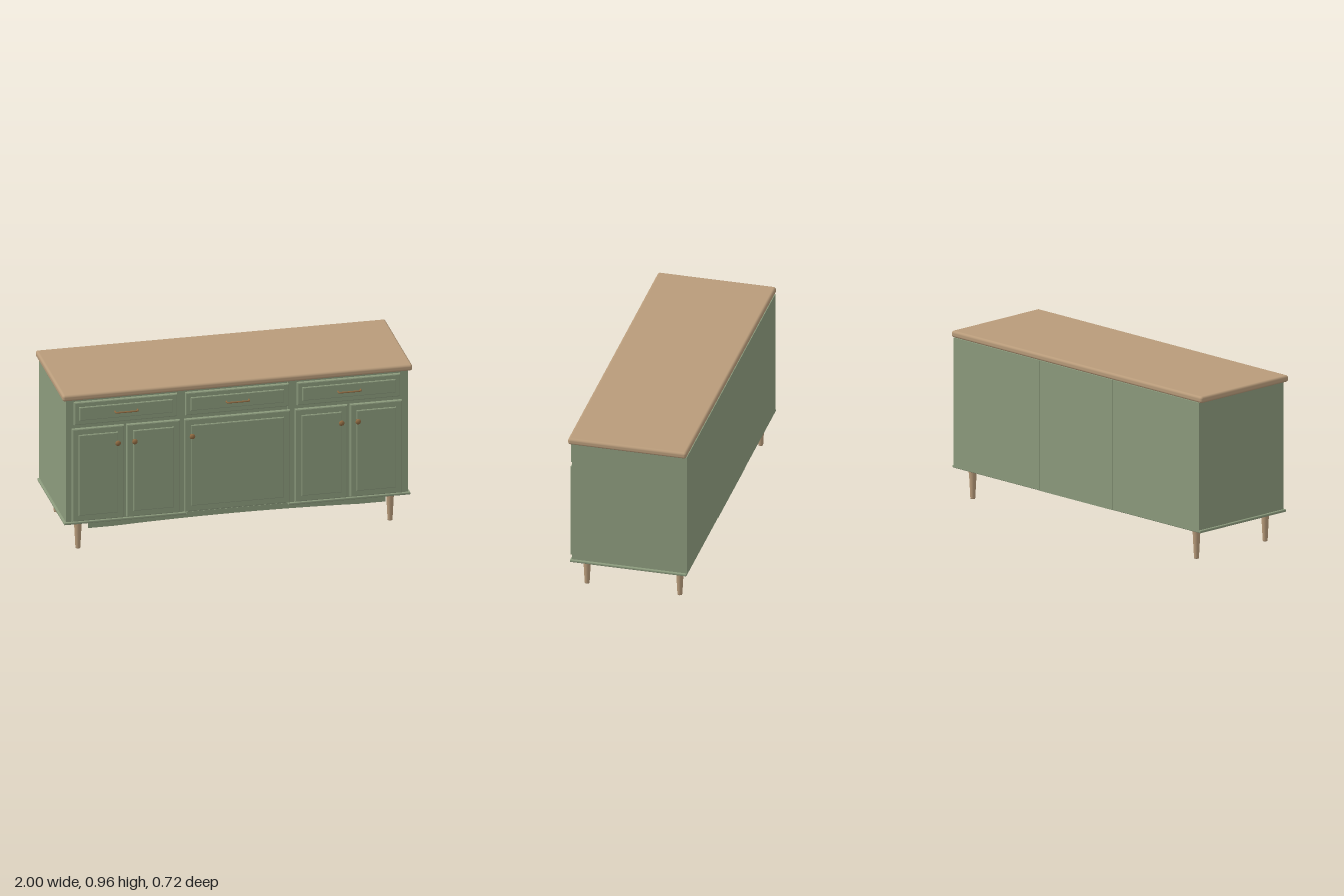
import * as THREE from 'three';
import { RoundedBoxGeometry } from 'three/addons/geometries/RoundedBoxGeometry.js';

const green = new THREE.MeshStandardMaterial({ color: 0x8b9a7c });
const wood = new THREE.MeshStandardMaterial({ color: 0xb89b7a });
const bronze = new THREE.MeshStandardMaterial({ color: 0x8f6b42 });

export function createModel() {
  const root = new THREE.Group();

  function add(name, geometry, material, x = 0, y = 0, z = 0, parent = root) {
    const mesh = new THREE.Mesh(geometry, material);
    mesh.name = name;
    mesh.position.set(x, y, z);
    parent.add(mesh);
    return mesh;
  }

  // Box given by its limits, with optional rounded edges
  function block(name, [x0, x1], [y0, y1], [z0, z1], material, radius = 0) {
    const size = [x1 - x0, y1 - y0, z1 - z0];
    const geometry = radius
      ? new RoundedBoxGeometry(...size, 4, radius)
      : new THREE.BoxGeometry(...size);
    return add(name, geometry, material, (x0 + x1) / 2, (y0 + y1) / 2, (z0 + z1) / 2);
  }

  // Rectangular panel with chamfered front edges, back face at z = 0
  function panelGeometry(w, h, depth, bevel) {
    const a = w / 2 - bevel, b = h / 2 - bevel;
    const shape = new THREE.Shape([
      new THREE.Vector2(-a, -b), new THREE.Vector2(a, -b),
      new THREE.Vector2(a, b), new THREE.Vector2(-a, b),
    ]);
    const geometry = new THREE.ExtrudeGeometry(shape, {
      depth: depth - 2 * bevel, bevelSize: bevel, bevelThickness: bevel, bevelSegments: 2,
    });
    return geometry.translate(0, 0, bevel);
  }

  // Door or drawer front: slab plus raised centre field
  function facePanel(name, x0, x1, y0, y1, inset) {
    const group = new THREE.Group();
    group.name = name;
    group.position.set((x0 + x1) / 2, (y0 + y1) / 2, 0.302);
    const w = x1 - x0, h = y1 - y0;
    add('slab', panelGeometry(w, h, 0.023, 0.006), green, 0, 0, 0, group);
    add('raisedField', panelGeometry(w - 2 * inset, h - 2 * inset, 0.016, 0.005), green, 0, 0, 0.014, group);
    root.add(group);
  }

  // Worktop
  block('worktop', [-1, 1], [0.922, 0.96], [-0.357, 0.324], wood, 0.014);

  // Three cabinets side by side, each on its own base plate
  const seam = 0.29, gap = 0.0015;
  for (const s of [-1, 1]) {
    const span = (outer) => [s * (seam + gap), s * outer].sort((a, b) => a - b);
    block('sideCabinet', span(0.978), [0.183, 0.923], [-0.357, 0.303], green);
    block('sideBase', span(0.99), [0.172, 0.187], [-0.357, 0.314], green, 0.005);
  }
  block('centreCabinet', [-seam, seam], [0.183, 0.923], [-0.357, 0.303], green);
  block('centreBase', [-seam, seam], [0.172, 0.185], [-0.357, 0.305], green);

  // Drawers with bar pulls
  const pullPath = new THREE.CatmullRomCurve3([
    [-0.064, 0], [-0.064, 0.02], [-0.056, 0.026], [0, 0.027], [0.056, 0.026], [0.064, 0.02], [0.064, 0],
  ].map(([x, z]) => new THREE.Vector3(x, 0, z)), false, 'catmullrom', 0.2);
  const pull = new THREE.TubeGeometry(pullPath, 40, 0.0048, 8);
  for (const [x0, x1] of [[-0.935, -0.345], [-0.298, 0.292], [0.34, 0.93]]) {
    facePanel('drawer', x0, x1, 0.775, 0.912, 0.028);
    add('drawerPull', pull, bronze, (x0 + x1) / 2, 0.843, 0.328);
  }

  // Doors with turned knobs: limits and knob position in x
  const knobProfile = [
    [0, 0], [0.009, 0], [0.007, 0.003], [0.005, 0.008], [0.006, 0.013],
    [0.014, 0.018], [0.016, 0.022], [0.013, 0.027], [0.007, 0.03], [0, 0.031],
  ].map(([r, h]) => new THREE.Vector2(r, h));
  const knob = new THREE.LatheGeometry(knobProfile, 20).rotateX(Math.PI / 2);
  for (const [x0, x1, kx] of [
    [-0.946, -0.65, -0.69], [-0.634, -0.33, -0.594], [-0.305, 0.299, -0.265],
    [0.328, 0.628, 0.588], [0.643, 0.94, 0.683],
  ]) {
    facePanel('door', x0, x1, 0.193, 0.752, 0.036);
    add('doorKnob', knob, bronze, kx, 0.656, 0.328);
  }

  // Apron with a shallow arched lower edge
  const apron = new THREE.Shape();
  apron.moveTo(-0.85, 0.175);
  apron.lineTo(-0.85, 0.139);
  apron.lineTo(-0.7, 0.139);
  apron.quadraticCurveTo(0, 0.166, 0.7, 0.139);
  apron.lineTo(0.85, 0.139);
  apron.lineTo(0.85, 0.175);
  add('apron', new THREE.ExtrudeGeometry(apron, { depth: 0.011, bevelEnabled: false, curveSegments: 24 }), green, 0, 0, 0.291);

  // Tapered round legs
  const legProfile = [
    [0, 0], [0.013, 0], [0.014, 0.005], [0.021, 0.14], [0.024, 0.155], [0.024, 0.174], [0, 0.174],
  ].map(([r, h]) => new THREE.Vector2(r, h));
  const leg = new THREE.LatheGeometry(legProfile, 24);
  for (const x of [-0.895, 0.89]) {
    for (const z of [0.24, -0.294]) add('leg', leg, wood, x, 0, z);
  }

  return root;
}
